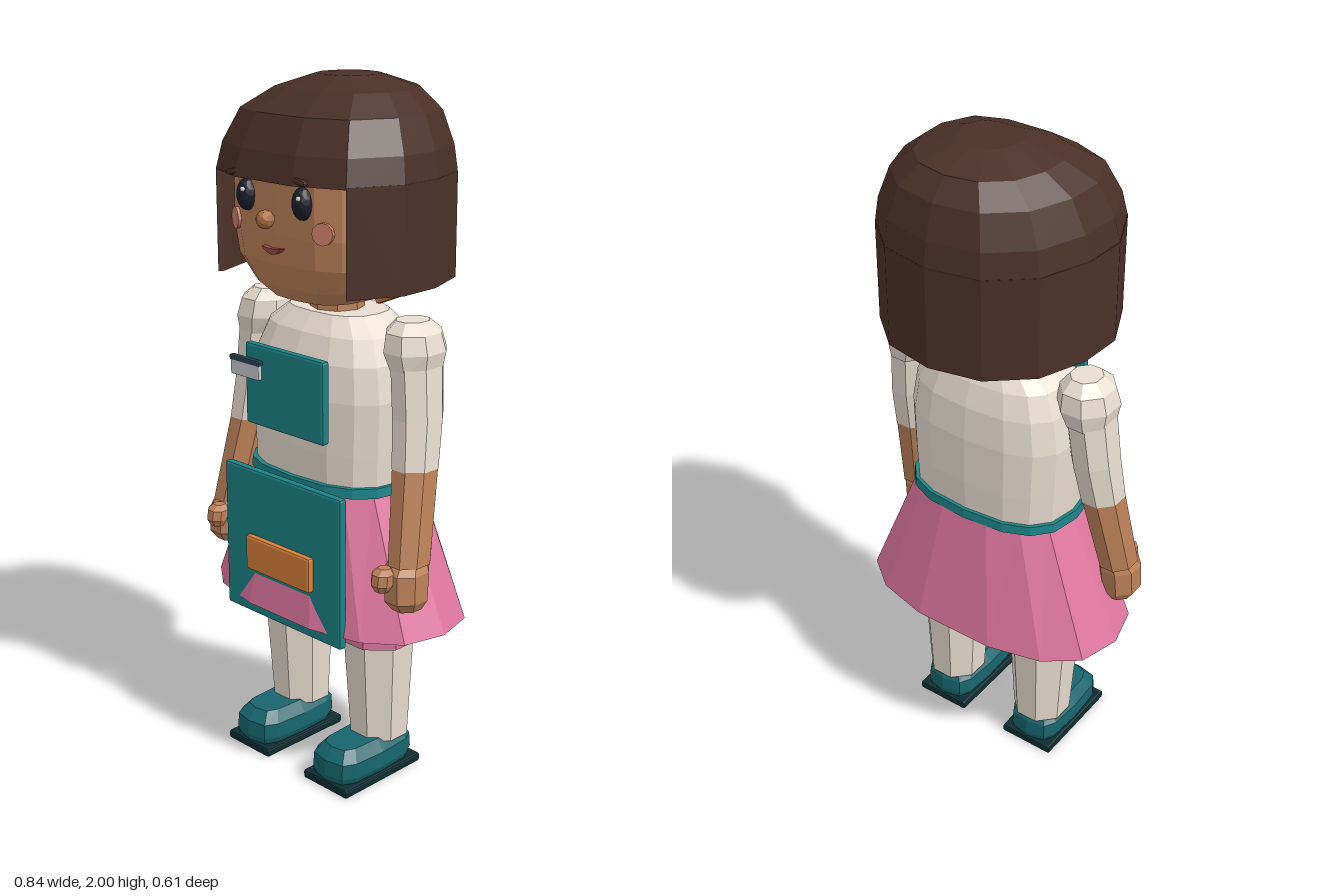
import * as THREE from 'three';
import { RoundedBoxGeometry } from 'three/addons/geometries/RoundedBoxGeometry.js';

const C = {
  cream: 0xe8ddd0, skin: 0xbd8259, hair: 0x4a3027, teal: 0x1b8488, shoe: 0x17656d, sole: 0x0b2c31,
  pink: 0xe0779f, orange: 0xdb8338, dark: 0x1b1e2b, white: 0xf2f2f2, blush: 0xc97d68, lips: 0x9c4a48,
  nose: 0xb0703f, badge: 0xc9ccd2, navy: 0x2a3f55,
};

const material = (color) =>
  new THREE.MeshStandardMaterial({ color, flatShading: true, side: THREE.DoubleSide });

function add(parent, name, color, geometry, x = 0, y = 0, z = 0) {
  const mesh = new THREE.Mesh(geometry, material(color));
  mesh.name = name;
  mesh.position.set(x, y, z);
  parent.add(mesh);
  return mesh;
}

// Capped skin over horizontal rings of [x, y, z] points, listed from bottom to top
function loft(rings) {
  const pos = [];
  const n = rings[0].length;
  const tri = (...pts) => pts.forEach((p) => pos.push(...p));
  const centre = (r) => [0, 1, 2].map((k) => r.reduce((s, p) => s + p[k], 0) / n);
  const last = rings[rings.length - 1];
  const low = centre(rings[0]), high = centre(last);
  for (let i = 0; i < n; i++) {
    const j = (i + 1) % n;
    for (let k = 0; k + 1 < rings.length; k++) {
      const a = rings[k], b = rings[k + 1];
      tri(a[i], b[i], a[j]);
      tri(a[j], b[i], b[j]);
    }
    tri(low, rings[0][i], rings[0][j]);
    tri(high, last[j], last[i]);
  }
  const g = new THREE.BufferGeometry();
  g.setAttribute('position', new THREE.Float32BufferAttribute(pos, 3));
  g.computeVertexNormals();
  return g;
}

// Stack of rounded-square rings; each row is [y, halfWidth, halfDepth, centreX, centreZ]
function stack(rows, sides = 8, power = 1, phase = 0) {
  const bend = (v) => Math.sign(v) * Math.pow(Math.abs(v), power);
  return loft(rows.map(([y, rx, rz, cx = 0, cz = 0]) =>
    Array.from({ length: sides }, (_, i) => {
      const t = ((i + phase) / sides) * Math.PI * 2;
      return [cx + rx * bend(Math.cos(t)), y, cz + rz * bend(Math.sin(t))];
    })));
}

const slab = (w, h, d, r = 0.008) => new RoundedBoxGeometry(w, h, d, 1, r);

function buildHead(root) {
  const head = new THREE.Group();
  head.name = 'head';
  root.add(head);
  add(head, 'neck', C.skin, stack([[1.34, 0.078, 0.078, 0, 0.017], [1.44, 0.075, 0.075, 0, 0.017]]));
  add(head, 'face', C.skin, stack([
    [1.41, 0.14, 0.17, 0, 0.01], [1.45, 0.2, 0.215], [1.52, 0.245, 0.245],
    [1.6, 0.255, 0.255], [1.78, 0.255, 0.255], [1.86, 0.22, 0.22],
  ], 16, 0.6));

  // Face features
  const ball = new THREE.IcosahedronGeometry(1, 2);
  for (const s of [1, -1]) {
    add(head, 'eye', C.dark, ball, s * 0.107, 1.695, 0.25).scale.set(0.03, 0.044, 0.028);
    add(head, 'eyeHighlight', C.white, ball, s * 0.107 + 0.01, 1.712, 0.275).scale.setScalar(0.007);
    const cheek = add(head, 'cheek', C.blush, new THREE.CylinderGeometry(0.03, 0.03, 0.02, 12), s * 0.165, 1.622, 0.231);
    cheek.rotation.set(Math.PI / 2, 0, -s * 0.4);
    add(head, 'eyebrow', C.hair, slab(0.05, 0.016, 0.03, 0.006), s * 0.125, 1.757, 0.272).rotation.z = -s * 0.15;
  }
  add(head, 'nose', C.nose, new THREE.IcosahedronGeometry(0.026, 1), 0, 1.645, 0.283);
  const smile = new THREE.Shape();
  smile.moveTo(-0.038, 0.008);
  smile.quadraticCurveTo(0, 0.002, 0.038, 0.008);
  smile.quadraticCurveTo(0, -0.03, -0.038, 0.008);
  add(head, 'mouth', C.lips, new THREE.ExtrudeGeometry(smile, { depth: 0.03, bevelEnabled: false, curveSegments: 6 }), 0, 1.56, 0.234);

  // Bob haircut: a domed crown with fringe, and a wall wrapping the sides and back
  const half = [[0.11, 0.29], [0.25, 0.235], [0.318, 0.09], [0.312, -0.04], [0.26, -0.18], [0.15, -0.275]];
  const outline = [...half].reverse().concat(half.map(([x, z]) => [-x, z]), [[0, -0.305]]);
  const crown = [[1.75, 0.8, 0], [1.745, 1, 0], [1.82, 0.955, -0.005], [1.91, 0.83, -0.015], [1.965, 0.6, -0.035], [2, 0.27, -0.03]];
  add(head, 'hairCrown', C.hair, loft(crown.map(([y, s, dz]) => outline.map(([x, z]) => [x * s, y, z * s + dz]))));
  const side = half.slice(1);
  const outer = [...side, [0, -0.305], ...[...side].reverse().map(([x, z]) => [-x, z])];
  const inner = outer.map(([x, z]) => [x * 0.92, z * 0.93]).reverse();
  inner[0][0] = -0.245;
  inner[inner.length - 1][0] = 0.245;
  const wall = new THREE.Shape(outer.concat(inner).map(([x, z]) => new THREE.Vector2(x, -z)));
  const wallGeometry = new THREE.ExtrudeGeometry(wall, { depth: 0.29, bevelEnabled: false });
  wallGeometry.rotateX(-Math.PI / 2);
  add(head, 'hairSidesAndBack', C.hair, wallGeometry, 0, 1.46, 0);

  // Apron straps behind the neck
  for (const s of [1, -1]) {
    add(head, 'neckStrap', C.orange, slab(0.23, 0.07, 0.03), s * 0.16, 1.445, -0.08).rotation.z = s * 0.4;
  }
}

function buildArm(s) {
  const arm = new THREE.Group();
  arm.name = s > 0 ? 'leftArm' : 'rightArm';
  const part = (name, color, rows) => add(arm, name, color, stack(
    rows.map(([y, rx, rz, x, z]) => [y, rx, rz, s * x, z]), 8, 1, 0.5));
  part('shoulder', C.cream, [
    [1.25, 0.066, 0.085, 0.3, 0.015], [1.3, 0.085, 0.097, 0.292, 0.015],
    [1.35, 0.075, 0.085, 0.287, 0.015], [1.38, 0.045, 0.05, 0.282, 0.015],
  ]);
  part('sleeve', C.cream, [[0.985, 0.064, 0.073, 0.328, 0.047], [1.12, 0.067, 0.08, 0.315, 0.025], [1.28, 0.066, 0.085, 0.3, 0.015]]);
  part('forearm', C.skin, [[0.73, 0.056, 0.068, 0.36, 0.1], [0.99, 0.063, 0.072, 0.328, 0.047]]);
  part('hand', C.skin, [[0.6, 0.04, 0.045, 0.365, 0.112], [0.63, 0.06, 0.067, 0.364, 0.115], [0.71, 0.062, 0.07, 0.36, 0.11], [0.735, 0.05, 0.058, 0.358, 0.1]]);
  part('thumb', C.skin, [[0.665, 0.02, 0.02, 0.34, 0.187], [0.685, 0.032, 0.032, 0.34, 0.187], [0.715, 0.032, 0.032, 0.34, 0.183], [0.73, 0.018, 0.018, 0.34, 0.178]]);
  return arm;
}

function buildLeg(s) {
  const leg = new THREE.Group();
  leg.name = s > 0 ? 'leftLeg' : 'rightLeg';
  const x = s * 0.165;
  add(leg, 'shorts', C.pink, stack([[0.42, 0.122, 0.12, x, 0.015], [0.56, 0.125, 0.122, x, 0.015]], 8, 1, 0.5));
  add(leg, 'stocking', C.cream, stack([[0.11, 0.088, 0.09, x, 0.01], [0.44, 0.108, 0.11, x, 0.015]], 8, 1, 0.5));
  add(leg, 'shoe', C.shoe, stack([
    [0.025, 0.078, 0.15, x, 0.08], [0.045, 0.087, 0.155, x, 0.08],
    [0.09, 0.085, 0.152, x, 0.08], [0.122, 0.058, 0.128, x, 0.075],
  ], 12, 0.55));
  add(leg, 'sole', C.sole, slab(0.176, 0.026, 0.312, 0.006), x, 0.013, 0.08);
  return leg;
}

export function createModel() {
  const root = new THREE.Group();
  root.name = 'apronFigure';
  buildHead(root);
  for (const s of [1, -1]) root.add(buildArm(s), buildLeg(s));

  // Shirt, skirt and waistband
  add(root, 'shirt', C.cream, stack([
    [0.89, 0.25, 0.172, 0, 0.018], [1, 0.256, 0.175, 0, 0.018], [1.15, 0.262, 0.175, 0, 0.018],
    [1.25, 0.245, 0.165, 0, 0.018], [1.32, 0.215, 0.14, 0, 0.015], [1.37, 0.15, 0.105, 0, 0.01],
  ], 16, 0.75));
  add(root, 'skirt', C.pink, stack([[0.5, 0.418, 0.245, 0, 0.015], [0.9, 0.25, 0.18, 0, 0.018]], 14, 0.8));
  add(root, 'waistband', C.teal, stack([[0.885, 0.264, 0.187, 0, 0.02], [0.913, 0.262, 0.185, 0, 0.02]], 16, 0.75));

  // Apron with pocket, bib and badge
  add(root, 'apronSkirt', C.teal, slab(0.47, 0.445, 0.026), 0, 0.688, 0.228);
  add(root, 'apronPocket', C.orange, slab(0.262, 0.105, 0.022), 0, 0.662, 0.25);
  add(root, 'apronBib', C.teal, slab(0.31, 0.236, 0.026), 0, 1.158, 0.214);
  add(root, 'badge', C.badge, slab(0.116, 0.05, 0.014, 0.004), -0.143, 1.202, 0.234);
  add(root, 'badgeStripe', C.navy, slab(0.122, 0.016, 0.018, 0.004), -0.143, 1.226, 0.234);
  return root;
}
